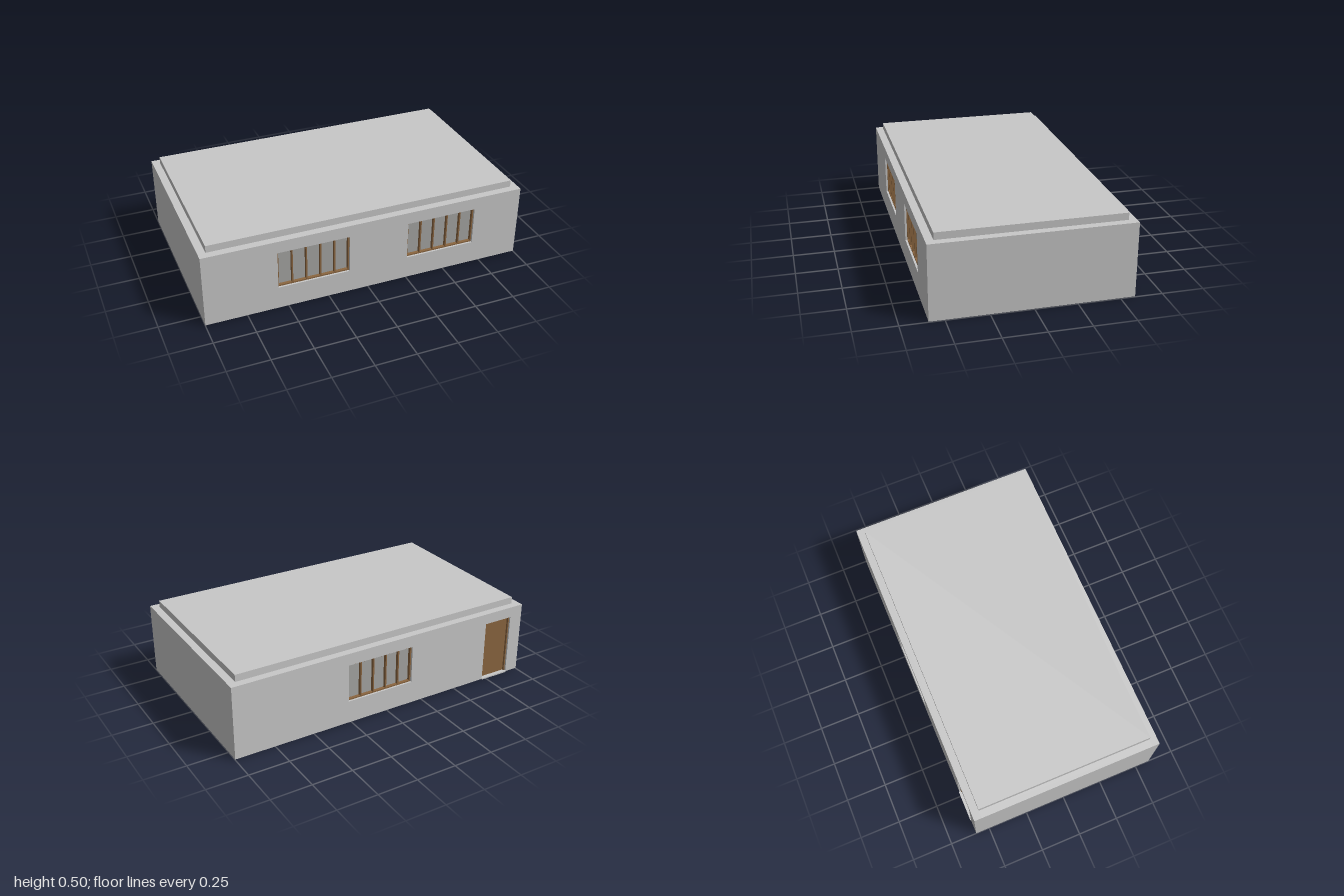
import * as THREE from 'three';

const mat = (name, color) => Object.assign(new THREE.MeshStandardMaterial({ color }), { name });

export function createModel() {
  const concrete = mat('concrete', 0xc8c8c8);
  const glass = mat('grey glass', 0xa6a6a4);
  const wood = mat('brown wood', 0x8b6640);

  const W = 2, T = 0.046, BASE = 0.003, TOP = 0.457;
  const FRONT = 0.59, BACK = -0.586;
  const model = new THREE.Group();
  model.name = 'house';

  // Box given by its min and max corners
  function box(parent, name, material, x0, x1, y0, y1, z0, z1) {
    const m = new THREE.Mesh(new THREE.BoxGeometry(x1 - x0, y1 - y0, z1 - z0), material);
    m.position.set((x0 + x1) / 2, (y0 + y1) / 2, (z0 + z1) / 2);
    m.name = name;
    parent.add(m);
  }

  // Long wall with its outer face at local z = 0, window holes and an optional door notch
  function longWall(name, windows, door) {
    const wall = new THREE.Group();
    wall.name = name;
    const pts = [[-W / 2, BASE]];
    if (door) pts.push([door.x0, BASE], [door.x0, door.y1], [door.x1, door.y1], [door.x1, BASE]);
    pts.push([W / 2, BASE], [W / 2, TOP], [-W / 2, TOP]);
    const toVec = ([x, y]) => new THREE.Vector2(x, y);
    const shape = new THREE.Shape(pts.map(toVec));
    for (const { x0, x1, y0, y1 } of windows) {
      shape.holes.push(new THREE.Path([[x0, y0], [x0, y1], [x1, y1], [x1, y0]].map(toVec)));
    }
    const geo = new THREE.ExtrudeGeometry(shape, { depth: T, bevelEnabled: false });
    geo.translate(0, 0, -T);
    const mesh = new THREE.Mesh(geo, concrete);
    mesh.name = name + 'Panel';
    wall.add(mesh);
    windows.forEach((w) => addWindow(wall, w));
    if (door) addDoor(wall, door);
    model.add(wall);
    return wall;
  }

  // Recessed window: thin frame, four mullions and a pane
  function addWindow(parent, { x0, x1, y0, y1 }) {
    const g = new THREE.Group();
    g.name = 'window';
    const t = 0.008, zf = -0.012, zb = -0.038;
    for (let i = 0; i <= 5; i++) {
      const x = x0 + t / 2 + ((x1 - x0 - t) * i) / 5;
      box(g, i % 5 ? 'mullion' : 'frameSide', wood, x - t / 2, x + t / 2, y0, y1, zb, zf);
    }
    box(g, 'frameTop', wood, x0 + t, x1 - t, y1 - t, y1, zb, zf);
    box(g, 'frameBottom', wood, x0 + t, x1 - t, y0, y0 + t, zb, zf);
    box(g, 'pane', glass, x0 + t, x1 - t, y0 + t, y1 - t, -0.036, -0.031);
    parent.add(g);
  }

  // Door leaf set back inside a slim frame, with a low threshold
  function addDoor(parent, { x0, x1, y1 }) {
    const g = new THREE.Group();
    g.name = 'door';
    const t = 0.008, y0 = 0.008;
    box(g, 'doorFrameSide', wood, x0, x0 + t, y0, y1, -T, -0.01);
    box(g, 'doorFrameSide', wood, x1 - t, x1, y0, y1, -T, -0.01);
    box(g, 'doorFrameTop', wood, x0 + t, x1 - t, y1 - t, y1, -T, -0.01);
    box(g, 'doorLeaf', wood, x0 + t, x1 - t, y0, y1 - t, -0.038, -0.022);
    box(g, 'threshold', concrete, x0, x1, 0, y0, -T, 0.004);
    parent.add(g);
  }

  const win = (x0, x1) => ({ x0, x1, y0: 0.145, y1: 0.382 });
  longWall('frontWall', [win(-0.56, -0.12), win(0.25, 0.69)]).position.z = FRONT;
  const back = longWall('backWall', [win(-0.27, 0.17)], { x0: 0.72, x1: 0.913, y1: 0.39 });
  back.rotation.y = Math.PI;
  back.position.z = BACK;

  // Side walls, floor and roof slab
  box(model, 'leftWall', concrete, W / 2 - T, W / 2, BASE, TOP, BACK + T, FRONT - T);
  box(model, 'rightWall', concrete, -W / 2, -W / 2 + T, BASE, TOP, BACK + T, FRONT - T);
  box(model, 'floor', concrete, -W / 2 + T, W / 2 - T, 0, 0.008, BACK + T, FRONT - T);
  box(model, 'roofSlab', concrete, -W / 2 + T, W / 2 - T, 0.455, 0.5, BACK + T, FRONT - T);
  return model;
}
